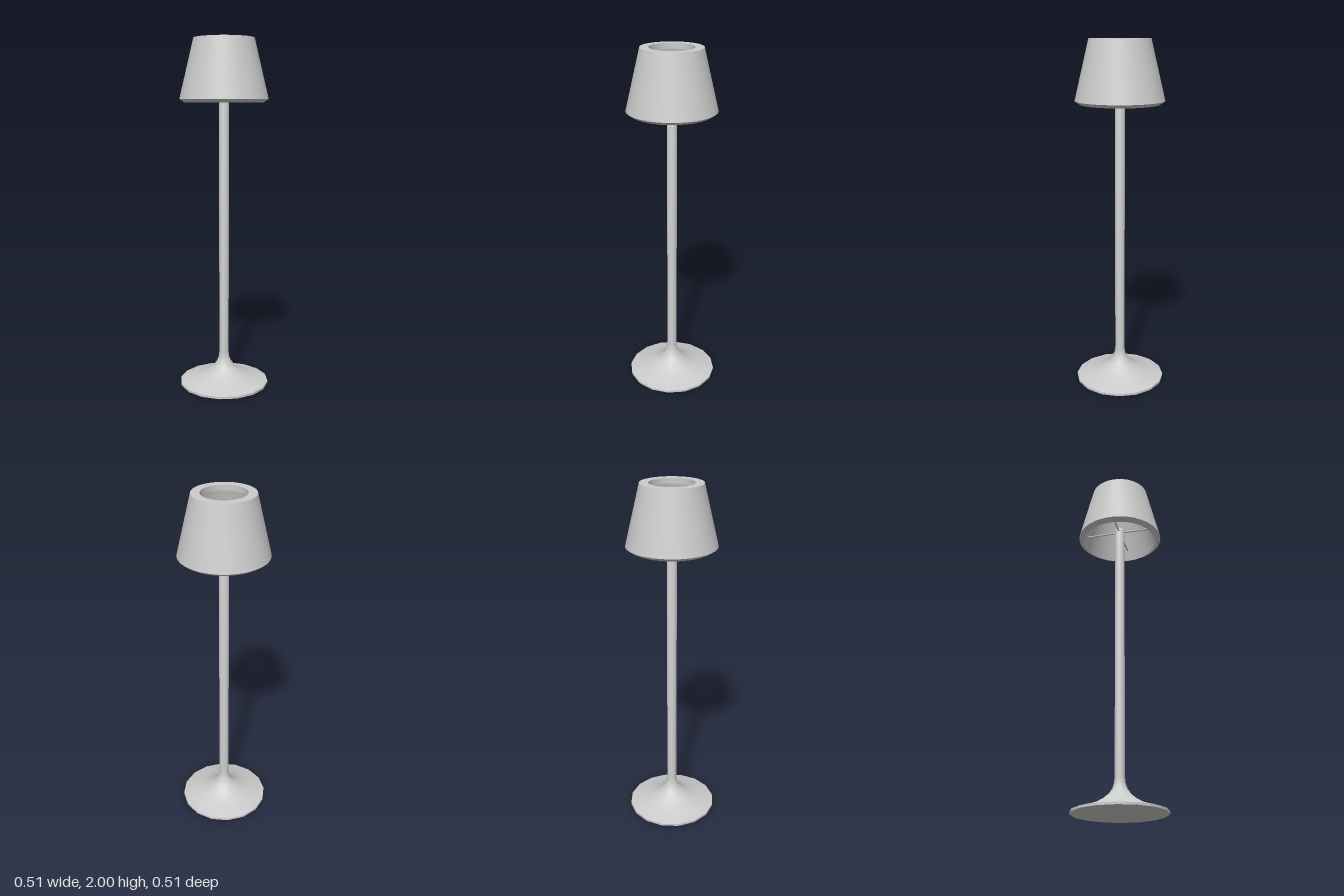
import * as THREE from 'three';
import { toCreasedNormals } from 'three/addons/utils/BufferGeometryUtils.js';

const material = new THREE.MeshStandardMaterial({ color: 0xcccccc });

// Turned part from [radius, height] pairs, listed bottom to top on the outside.
function turned(name, profile, sides, phase = 0) {
  const points = profile.map(([r, y]) => new THREE.Vector2(r, y));
  const geometry = new THREE.LatheGeometry(points, sides, phase);
  const mesh = new THREE.Mesh(toCreasedNormals(geometry, 0.6), material);
  mesh.name = name;
  return mesh;
}

export function createModel() {
  const lamp = new THREE.Group();
  lamp.name = 'floorLamp';

  // Flared foot running smoothly into the pole, with a chamfered tip
  lamp.add(turned('baseAndPole', [
    [0, 0], [0.26, 0], [0.26, 0.013],
    [0.185, 0.034], [0.128, 0.055], [0.09, 0.078], [0.06, 0.103],
    [0.04, 0.132], [0.031, 0.16], [0.028, 0.19],
    [0.028, 1.732], [0.017, 1.748], [0, 1.748],
  ], 16, Math.PI / 16));

  // Hollow shade: slanted lower rim, tapered wall, flat top lip around the opening
  lamp.add(turned('shade', [
    [0.222, 1.648], [0.25, 1.667], [0.17, 2], [0.122, 2],
    [0.122, 1.97], [0.145, 1.97], [0.222, 1.648],
  ], 32));

  // Four thin arms carrying the shade from the pole
  const arms = new THREE.Group();
  arms.name = 'shadeArms';
  const length = 0.212;
  for (let i = 0; i < 4; i++) {
    const geometry = new THREE.CylinderGeometry(0.005, 0.005, length, 8);
    geometry.rotateZ(Math.PI / 2).translate(length / 2, 1.718, 0);
    const arm = new THREE.Mesh(geometry, material);
    arm.name = 'shadeArm';
    arm.rotation.y = (i * Math.PI) / 2;
    arms.add(arm);
  }
  lamp.add(arms);

  return lamp;
}
